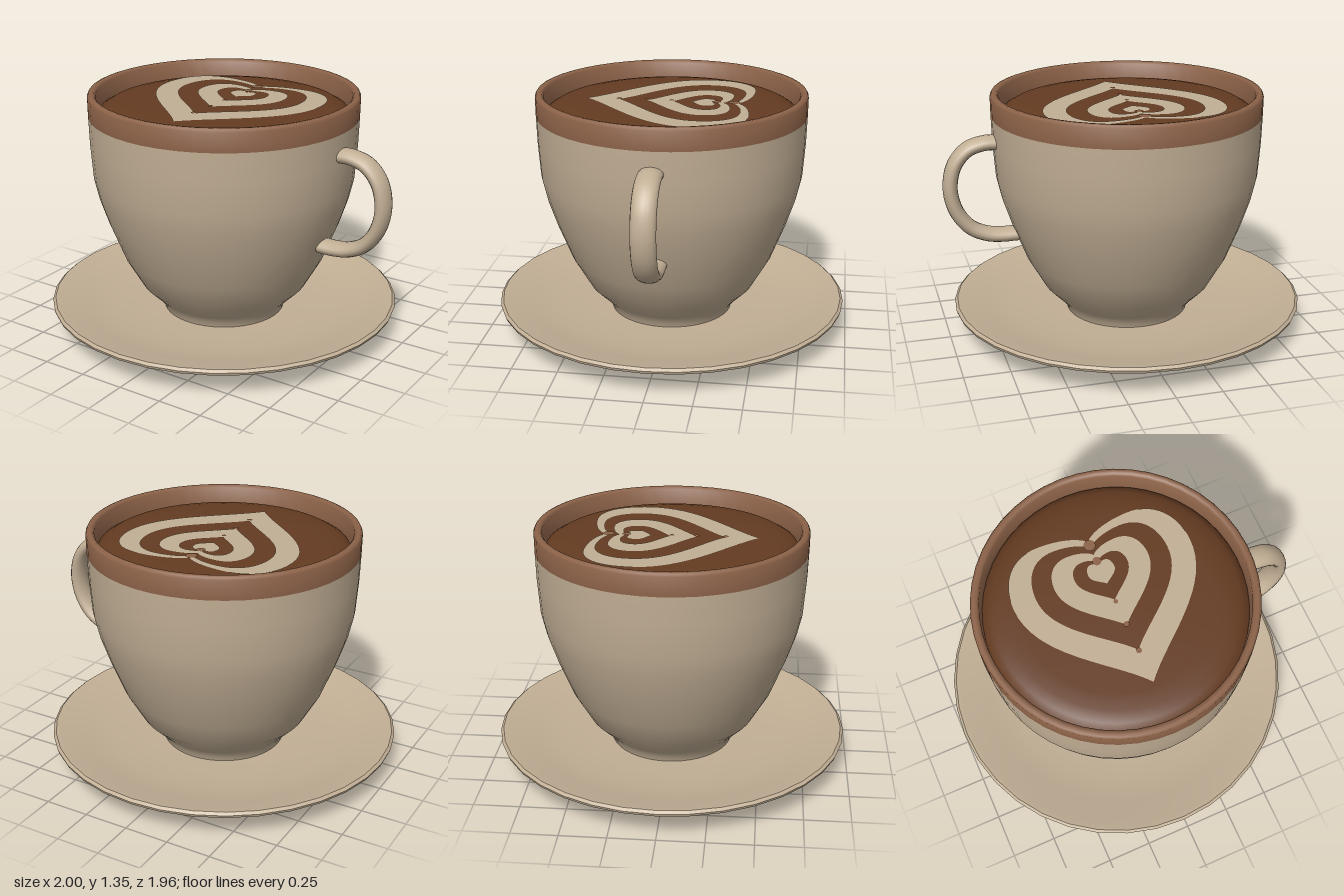
import * as THREE from 'three';
import { toCreasedNormals } from 'three/addons/utils/BufferGeometryUtils.js';

const CENTRE_X = -0.02;

const material = (name, color, side = THREE.FrontSide) => {
  const m = new THREE.MeshStandardMaterial({ color, side });
  m.name = name;
  return m;
};

// Turned part from [radius, height] pairs, bottom centre outwards and up
function lathe(profile, segments, crease = 0.6) {
  const points = profile.map(([r, y]) => new THREE.Vector2(r, y));
  return toCreasedNormals(new THREE.LatheGeometry(points, segments), crease);
}

// Heart outline lying in x/z (shape y = -z); w = half width, all others are z values
function heart(PathType, { w, widest, top, notch, tip }) {
  const p = new PathType();
  const side = widest - top;
  p.moveTo(0, -tip);
  p.bezierCurveTo(w * 0.3, -(tip - (tip - widest) * 0.28), w, -(widest + (tip - widest) * 0.45), w, -widest);
  p.bezierCurveTo(w, -(widest - side * 0.6), w * 0.82, -top, w * 0.52, -top);
  p.bezierCurveTo(w * 0.3, -top, w * 0.08, -(top + (notch - top) * 0.4), 0, -notch);
  p.bezierCurveTo(-w * 0.08, -(top + (notch - top) * 0.4), -w * 0.3, -top, -w * 0.52, -top);
  p.bezierCurveTo(-w * 0.82, -top, -w, -(widest - side * 0.6), -w, -widest);
  p.bezierCurveTo(-w, -(widest + (tip - widest) * 0.45), -w * 0.3, -(tip - (tip - widest) * 0.28), 0, -tip);
  return p;
}

export function createModel() {
  const model = new THREE.Group();
  model.name = 'coffeeCup';
  const beige = material('beigeCeramic', 0xc2af95);
  const brown = material('brownRim', 0x8c6248);
  const coffeeBrown = material('coffeeBrown', 0x643b21);

  const add = (name, geometry, mat, x = CENTRE_X, y = 0, z = 0) => {
    const mesh = new THREE.Mesh(geometry, mat);
    mesh.name = name;
    mesh.position.set(x, y, z);
    model.add(mesh);
    return mesh;
  };

  // Saucer with a stepped foot and shallow dish
  add('saucer', lathe([
    [0, 0], [0.635, 0], [0.665, 0.03], [0.9, 0.105], [0.975, 0.14], [0.98, 0.155],
    [0.965, 0.168], [0.94, 0.165], [0.8, 0.125], [0.65, 0.1], [0.45, 0.09], [0, 0.09],
  ], 36), beige);

  // Cup body
  add('cupBody', lathe([
    [0, 0.085], [0.34, 0.085], [0.35, 0.12], [0.385, 0.165], [0.47, 0.25], [0.567, 0.42],
    [0.647, 0.625], [0.695, 0.77], [0.722, 0.89], [0.735, 1.08], [0.739, 1.23],
  ], 48), beige);

  // Brown rim, wrapping over the lip to the inside wall
  add('rim', lathe([
    [0.739, 1.23], [0.74, 1.335], [0.733, 1.348], [0.722, 1.352],
    [0.705, 1.35], [0.695, 1.338], [0.69, 1.2],
  ], 48, 1), brown);

  // Coffee surface, falling away at its edge
  const coffeeY = 1.285;
  add('coffee', lathe([
    [0.692, 1.22], [0.68, 1.245], [0.64, 1.268], [0.58, 1.28], [0.5, coffeeY], [0, coffeeY],
  ], 48, 1), coffeeBrown);

  // Milk art: nested hearts, the outer two hollow
  const hearts = [
    { w: 0.495, widest: -0.17, top: -0.44, notch: -0.365, tip: 0.47 },
    { w: 0.37, widest: -0.175, top: -0.388, notch: -0.325, tip: 0.285 },
    { w: 0.262, widest: -0.185, top: -0.33, notch: -0.285, tip: 0.14 },
    { w: 0.148, widest: -0.19, top: -0.27, notch: -0.24, tip: -0.012 },
    { w: 0.073, widest: -0.185, top: -0.24, notch: -0.222, tip: -0.11 },
  ];
  ['outerMilkHeart', 'middleMilkHeart', 'innerMilkHeart'].forEach((name, i) => {
    const shape = heart(THREE.Shape, hearts[i * 2]);
    if (hearts[i * 2 + 1]) shape.holes.push(heart(THREE.Path, hearts[i * 2 + 1]));
    add(name, new THREE.ShapeGeometry(shape, 16).rotateX(-Math.PI / 2), beige, CENTRE_X, coffeeY + 0.004);
  });

  // Froth dots along the centre line
  [[-0.342, 0.032], [-0.245, 0.024], [0, 0.012], [0.135, 0.015], [0.29, 0.015]].forEach(([z, r]) => {
    add('frothDot', new THREE.CircleGeometry(r, 16).rotateX(-Math.PI / 2), brown, CENTRE_X, coffeeY + 0.008, z);
  });

  // Handle: tube widened in z, with rounded ends
  const path = new THREE.CatmullRomCurve3([
    [0.7, 1.11], [0.77, 1.11], [0.86, 1.082], [0.932, 1.0], [0.96, 0.87],
    [0.932, 0.74], [0.86, 0.642], [0.77, 0.597], [0.69, 0.585], [0.61, 0.585],
  ].map(([x, y]) => new THREE.Vector3(x, y, 0)));
  const widen = 1.63;
  add('handle', new THREE.TubeGeometry(path, 48, 0.04, 16), beige, 0).scale.z = widen;
  [0, 1].forEach((t) => {
    const p = path.getPoint(t);
    add('handleEnd', new THREE.SphereGeometry(0.04, 16, 12), beige, p.x, p.y).scale.set(0.5, 1, widen);
  });

  return model;
}
